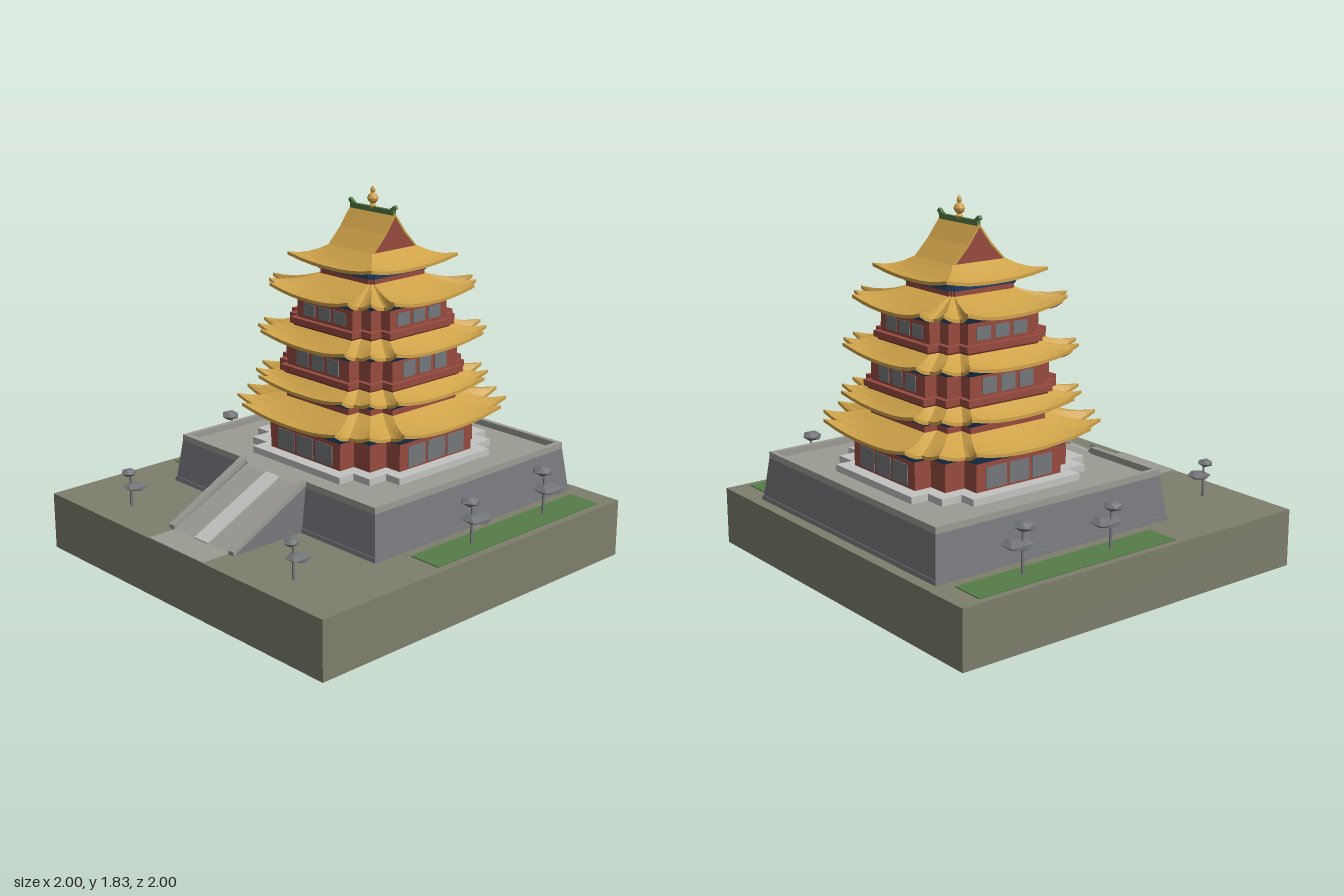
import * as THREE from 'three';

const mat = (name, color) => {
  const m = new THREE.MeshStandardMaterial({ color, flatShading: true });
  m.name = name;
  return m;
};

export function createModel() {
  const earth = mat('olive earth', 0x7d7e6c), stone = mat('dark stone', 0x77787d);
  const paving = mat('grey paving', 0x9b9a93), pale = mat('pale stone', 0xc2c2c1);
  const red = mat('red wood', 0x964a3f), darkRed = mat('dark red eaves', 0x6a2e25);
  const gold = mat('gold tiles', 0xcea249), blue = mat('blue brackets', 0x2b4b72);
  const green = mat('green', 0x557c47), grey = mat('grey', 0x74777a);

  const model = new THREE.Group();
  const tower = new THREE.Group();
  tower.name = 'tower';
  tower.position.x = 0.255;
  model.add(tower);

  const add = (parent, name, geo, m, x = 0, y = 0, z = 0) => {
    const mesh = new THREE.Mesh(geo, m);
    mesh.name = name;
    mesh.position.set(x, y, z);
    parent.add(mesh);
    return mesh;
  };
  // box given by its limits
  const box = (parent, name, m, x0, x1, y0, y1, z0, z1) =>
    add(parent, name, new THREE.BoxGeometry(x1 - x0, y1 - y0, z1 - z0), m,
      (x0 + x1) / 2, (y0 + y1) / 2, (z0 + z1) / 2);
  // side outline in x and y, extruded along z
  const slab = (parent, name, m, pts, z0, z1) =>
    add(parent, name, new THREE.ExtrudeGeometry(
      new THREE.Shape(pts.map(p => new THREE.Vector2(...p))),
      { depth: z1 - z0, bevelEnabled: false }), m, 0, 0, z0);

  // skin closed rings from bottom to top
  const loft = rings => {
    const pos = [];
    for (let i = 0; i + 1 < rings.length; i++) {
      const lo = rings[i], hi = rings[i + 1], n = lo.length;
      for (let j = 0; j < n; j++) {
        const k = (j + 1) % n;
        pos.push(...lo[j], ...hi[j], ...lo[k], ...lo[k], ...hi[j], ...hi[k]);
      }
    }
    const g = new THREE.BufferGeometry();
    g.setAttribute('position', new THREE.Float32BufferAttribute(pos, 3));
    g.computeVertexNormals();
    return g;
  };
  const apex = (ring, y) => ring.map(() => [0, y, 0]);

  // stepped cross plan: a = arm reach, b = arm half width, c = core half width
  const corners = ([a, b, c]) => {
    const pts = [], quarter = [[a, b], [c, b], [c, c], [b, c], [b, a]];
    for (let q = 0; q < 4; q++) {
      for (const [x, z] of quarter) pts.push([[x, z], [-z, x], [-x, -z], [z, -x]][q]);
    }
    return pts;
  };
  const plain = (plan, y) => corners(plan).map(([x, z]) => [x, y, z]);
  const rect = (hx, hz, y) => [[hx, y, -hz], [hx, y, hz], [-hx, y, hz], [-hx, y, -hz]];
  const block = (name, m, p0, y0, p1, y1) => {
    const top = plain(p1, y1), bottom = plain(p0, y0);
    add(tower, name, loft([apex(bottom, y0), bottom, top, apex(top, y1)]), m);
  };

  // eave ring whose outward corners sweep up and out
  const eaveRing = (plan, y, lift, flare, square) => {
    const pts = square ? rect(plan[0], plan[0], 0).map(p => [p[0], p[2]]) : corners(plan);
    const ring = [], n = pts.length;
    pts.forEach((p, i) => {
      const q = pts[(i + 1) % n], long = square || i % 5 === 4;
      const steps = long ? 8 : 3, startsOut = (i % 5) % 2 === 0;
      for (let s = 0; s < steps; s++) {
        const u = s / steps;
        const w = long ? Math.abs(2 * u - 1) ** 2.5 : (startsOut ? 1 - u : u) ** 2;
        const x = p[0] + (q[0] - p[0]) * u, z = p[1] + (q[1] - p[1]) * u;
        ring.push([x + Math.sign(x) * flare * w, y + lift * w, z + Math.sign(z) * flare * w]);
      }
    });
    return ring;
  };
  // curved tile roof with a dark soffit
  const roof = (name, outer, inner, y0, y1, lift, square) => {
    const flare = 0.02, thick = 0.016;
    const tiles = [eaveRing(outer, y0, lift, flare, square)];
    for (let i = 0; i <= 4; i++) {
      const t = i / 4, k = (1 - t) ** 2;
      const plan = outer.map((v, j) => v + (inner[j] - v) * t);
      tiles.push(eaveRing(plan, y0 + thick + (y1 - y0 - thick) * t ** 1.3, lift * k, flare * k, square));
    }
    add(tower, name + 'Tiles', loft(tiles), gold);
    add(tower, name + 'Soffit', loft([eaveRing(inner, y0 + 0.012, 0, 0, square), tiles[0]]), darkRed);
  };

  // ground, lawns and path
  box(model, 'ground', earth, -1, 1, 0, 0.29, -1, 1);
  for (const z of [-0.88, 0.875]) box(model, 'lawn', green, -0.26, 0.885, 0.288, 0.295, z - 0.085, z + 0.085);
  box(model, 'path', paving, -1, -0.84, 0.288, 0.294, -0.2, 0.2);

  // battered podium, paved floor and parapet
  add(tower, 'podiumPlinth', loft([rect(0.69, 0.735, 0.29), rect(0.687, 0.732, 0.312), rect(0.68, 0.725, 0.312)]), stone);
  const rim = rect(0.66, 0.7, 0.508);
  add(tower, 'podiumWall', loft([rect(0.683, 0.727, 0.312), rim]), stone);
  add(tower, 'podiumFloor', loft([rim, apex(rim, 0.508)]), paving);
  for (const s of [-1, 1]) {
    box(tower, 'parapet', paving, -0.66, 0.66, 0.505, 0.54, s * 0.687 - 0.013, s * 0.687 + 0.013);
    box(tower, 'parapet', paving, -0.66, -0.634, 0.505, 0.54, s * 0.45 - 0.225, s * 0.45 + 0.225);
  }
  box(tower, 'parapet', paving, 0.634, 0.66, 0.505, 0.54, -0.674, 0.674);

  // ramp with carved centre lane and side curbs
  slab(model, 'ramp', paving, [[-0.85, 0.29], [-0.38, 0.29], [-0.38, 0.508], [-0.405, 0.508]], -0.205, 0.205);
  slab(model, 'rampLane', pale, [[-0.85, 0.292], [-0.405, 0.508], [-0.405, 0.516], [-0.85, 0.3]], -0.048, 0.048);
  for (const z of [-0.22, 0.22]) {
    slab(model, 'rampWall', stone, [[-0.85, 0.29], [-0.39, 0.29], [-0.39, 0.52], [-0.405, 0.52], [-0.85, 0.3]], z - 0.016, z + 0.016);
    slab(model, 'rampCurb', paving, [[-0.85, 0.29], [-0.405, 0.518], [-0.405, 0.545], [-0.85, 0.31]], z - 0.018, z + 0.018);
  }

  // storeys: walls, brackets and roofs
  block('towerBase', pale, [0.515, 0.315, 0.425], 0.5, [0.515, 0.315, 0.425], 0.542);
  const storeys = [
    { w: [0.45, 0.25, 0.36], y: [0.54, 0.68, 0.735], r: [0.545, 0.317, 0.457], top: 0.797, lift: 0.045, next: [0.37, 0.22, 0.3] },
    { w: [0.37, 0.22, 0.3], y: [0.77, 0.83, 0.875], r: [0.467, 0.28, 0.39], top: 0.925, lift: 0.04, next: [0.365, 0.22, 0.3] },
    { w: [0.365, 0.22, 0.3], y: [0.91, 1.065, 1.105], r: [0.45, 0.28, 0.38], top: 1.162, lift: 0.04, next: [0.32, 0.195, 0.26] },
    { w: [0.32, 0.195, 0.26], y: [1.14, 1.3, 1.337], r: [0.408, 0.255, 0.34], top: 1.4, lift: 0.04, next: [0.19, 0.17, 0.18] },
    { w: [0.19, 0.17, 0.18], y: [1.37, 1.425, 1.475], r: [0.275, 0.275, 0.275], top: 1.54, lift: 0.035, next: [0.155, 0.155, 0.155], square: true },
  ];
  storeys.forEach(({ w, y, r, top, lift, next, square }, i) => {
    const wide = w.map(v => v + (square ? 0.025 : 0.045));
    block('wall' + (i + 1), red, w, y[0], w, y[1]);
    block('bracketBand' + (i + 1), blue, w.map(v => v + 0.006), y[1], wide, y[2]);
    roof('roof' + (i + 1), r, next, y[2] - 0.022, top, lift, square);
  });

  // balconies
  for (const [h, b, c, y] of [[0.392, 0.245, 0.325, 0.93], [0.348, 0.22, 0.288, 1.168]]) {
    block('balcony', red, [h, b, c], y, [h, b, c], y + 0.03);
    block('balconyBase', darkRed, [h - 0.015, b - 0.015, c - 0.015], y - 0.012, [h - 0.015, b - 0.015, c - 0.015], y + 0.002);
  }

  // three windows on each arm
  for (const [reach, gap, width, y0, y1] of [
    [0.45, 0.136, 0.118, 0.552, 0.655], [0.365, 0.108, 0.082, 0.972, 1.05], [0.32, 0.106, 0.082, 1.215, 1.277]]) {
    for (let q = 0; q < 4; q++) {
      const side = new THREE.Group();
      side.name = 'windows';
      side.rotation.y = q * Math.PI / 2;
      tower.add(side);
      for (const k of [-1, 0, 1]) {
        box(side, 'window', grey, k * gap - width / 2, k * gap + width / 2, y0, y1, reach - 0.003, reach + 0.004);
      }
    }
  }

  // gabled crown, ridge and finial
  const gable = [[-0.155, 1.535], [0.155, 1.535], [0.07, 1.622], [0, 1.715], [-0.07, 1.622]];
  slab(tower, 'gableEnds', red, gable.map(([x, y]) => [x * 0.97, y - 0.006]), -0.15, 0.15);
  for (const s of [-1, 1]) {
    const skin = [[0.155, 1.535], [0.07, 1.622], [0, 1.715], [0, 1.7], [0.064, 1.614], [0.143, 1.535]];
    slab(tower, 'gableTiles', gold, skin.map(([x, y]) => [x * s, y]), -0.155, 0.155);
    const tip = box(tower, 'ridgeTip', green, -0.009, 0.009, -0.009, 0.009, -0.018, 0.018);
    tip.position.set(0, 1.737, s * 0.145);
    tip.rotation.x = -s * 0.6;
  }
  box(tower, 'ridge', green, -0.01, 0.01, 1.705, 1.73, -0.15, 0.15);
  const finial = [[0.012, 1.72], [0.018, 1.735], [0.01, 1.745], [0.024, 1.758], [0.028, 1.772],
    [0.02, 1.788], [0.008, 1.797], [0.013, 1.808], [0.01, 1.82], [0, 1.833]];
  add(tower, 'finial', new THREE.LatheGeometry(finial.map(p => new THREE.Vector2(...p)), 10), gold);

  // small trees with two flattened crowns
  for (const [x, z, h, r] of [[0.055, -0.865, 0.205, 0.075], [0.57, -0.865, 0.225, 0.077], [0.055, 0.873, 0.205, 0.075],
    [0.57, 0.873, 0.225, 0.077], [-0.815, -0.59, 0.17, 0.06], [-0.815, 0.61, 0.17, 0.06]]) {
    const tree = new THREE.Group();
    tree.name = 'tree';
    tree.position.set(x, 0.29, z);
    model.add(tree);
    add(tree, 'trunk', new THREE.CylinderGeometry(0.005, 0.008, h, 6), stone, 0, h / 2, 0);
    const low = add(tree, 'lowerCrown', new THREE.IcosahedronGeometry(r, 0), grey, 0.012, h * 0.63, 0.02);
    low.scale.y = 0.32;
    const high = add(tree, 'upperCrown', new THREE.IcosahedronGeometry(r * 0.68, 0), grey, -0.004, h + 0.005, -0.008);
    high.scale.y = 0.48;
    high.rotation.y = 0.5;
  }
  return model;
}
